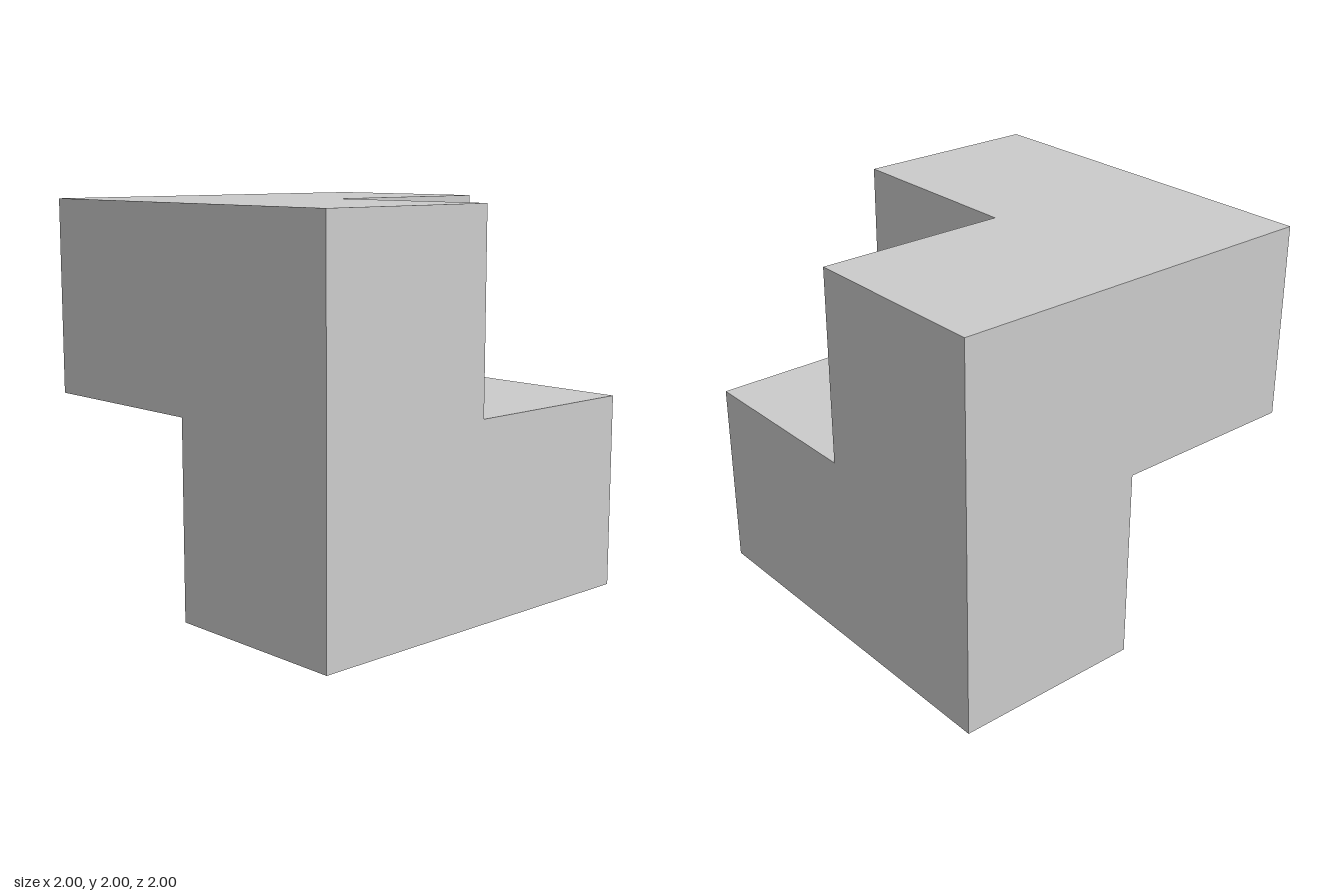
import * as THREE from 'three';
import { mergeGeometries } from 'three/addons/utils/BufferGeometryUtils.js';

// The cube is a 2 x 2 x 2 grid of unit cells with two opposite corner cells cut away.
const inside = (v) => v >= 0 && v <= 1;
function filled(i, j, k) {
  if (!inside(i) || !inside(j) || !inside(k)) return false;
  const frontTopNotch = i === 1 && j === 1 && k === 1;
  const backBottomNotch = i === 0 && j === 0 && k === 0;
  return !frontTopNotch && !backBottomNotch;
}

// Square face of a unit cell, pointing along dir
function cellFace(i, j, k, dir) {
  const turn = new THREE.Quaternion().setFromUnitVectors(new THREE.Vector3(0, 0, 1), dir);
  return new THREE.PlaneGeometry(1, 1)
    .translate(0, 0, 0.5)
    .applyQuaternion(turn)
    .translate(i - 0.5, j + 0.5, k - 0.5);
}

export function createModel() {
  const directions = [
    [1, 0, 0], [-1, 0, 0], [0, 1, 0], [0, -1, 0], [0, 0, 1], [0, 0, -1],
  ].map((d) => new THREE.Vector3(...d));

  // Only the outer skin: faces between a filled cell and an empty one
  const faces = [];
  for (let i = 0; i < 2; i++)
    for (let j = 0; j < 2; j++)
      for (let k = 0; k < 2; k++) {
        if (!filled(i, j, k)) continue;
        for (const d of directions)
          if (!filled(i + d.x, j + d.y, k + d.z)) faces.push(cellFace(i, j, k, d));
      }

  const block = new THREE.Mesh(
    mergeGeometries(faces),
    new THREE.MeshStandardMaterial({ color: 0xcccccc })
  );
  block.name = 'notchedCube';

  const model = new THREE.Group();
  model.name = 'notchedBlock';
  model.add(block);
  return model;
}
